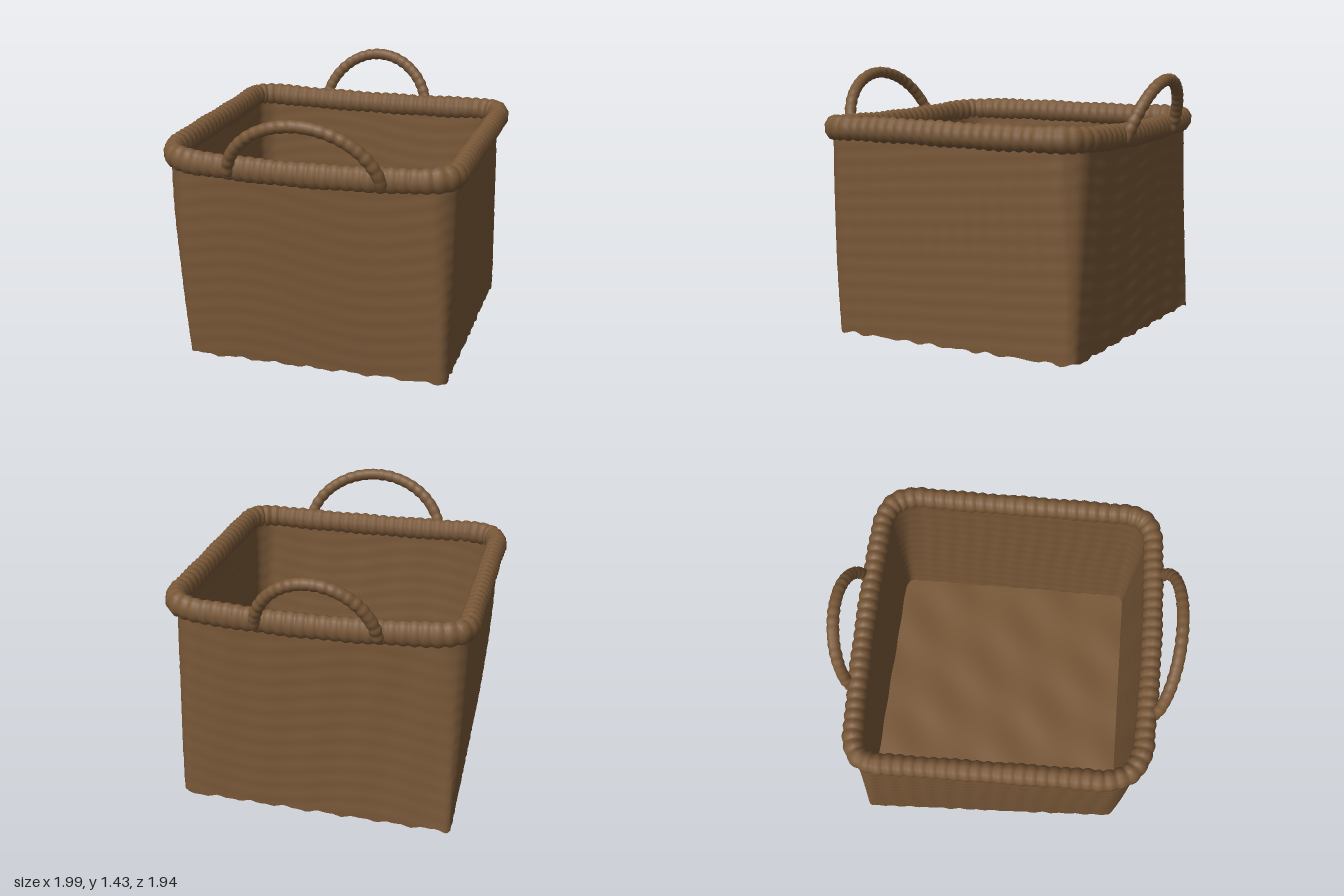
import * as THREE from 'three';
import { mergeVertices } from 'three/addons/utils/BufferGeometryUtils.js';

// Corner order: +x+z, -x+z, -x-z, +x-z
const SIGNS = [[1, 1], [-1, 1], [-1, -1], [1, -1]];
const BOTTOM = [[0.767, 0.69], [-0.675, 0.708], [-0.755, -0.782], [0.757, -0.75]];
const TOP = [[0.787, 0.742], [-0.765, 0.752], [-0.792, -0.752], [0.76, -0.758]];
const RIM = [[0.78, 0.74], [-0.757, 0.755], [-0.785, -0.745], [0.775, -0.755]];
const RADII = [0.13, 0.18, 0.11, 0.16];
const ARC = 8, SIDE = 56;

const inset = (corners, d) => corners.map(([x, z], q) => [x - SIGNS[q][0] * d, z - SIGNS[q][1] * d]);

// Outward bow of the two handle sides
const bow = (x, z) => Math.abs(z) > 0.55 ? Math.sign(z) * 0.028 * Math.max(0, 1 - (x / 0.72) ** 2) : 0;

// Four corners rounded off into a closed list of [x, z]
function ring(corners, round = 1) {
  const toward = (p, q) => {
    const dx = q[0] - p[0], dz = q[1] - p[1], l = Math.hypot(dx, dz);
    return [dx / l, dz / l];
  };
  const arcs = corners.map((p, q) => {
    const back = toward(p, corners[(q + 3) % 4]), next = toward(p, corners[(q + 1) % 4]);
    return Array.from({ length: ARC + 1 }, (_, k) => {
      const a = k / ARC * Math.PI / 2, r = RADII[q] * round;
      const m = r * (1 - Math.sin(a)), n = r * (1 - Math.cos(a));
      return [p[0] + m * back[0] + n * next[0], p[1] + m * back[1] + n * next[1]];
    });
  });
  const pts = [];
  arcs.forEach((arc, q) => {
    pts.push(...arc);
    const a = arc[ARC], b = arcs[(q + 1) % 4][0];
    for (let k = 1; k < SIDE; k++) {
      const t = k / SIDE;
      pts.push([a[0] + (b[0] - a[0]) * t, a[1] + (b[1] - a[1]) * t]);
    }
  });
  return pts;
}

// Skin a run of closed loops of Vector3
function loft(loops) {
  const n = loops[0].length, pos = [], idx = [];
  loops.forEach(l => l.forEach(p => pos.push(p.x, p.y, p.z)));
  for (let j = 0; j < loops.length - 1; j++) {
    for (let i = 0; i < n; i++) {
      const a = j * n + i, b = j * n + (i + 1) % n;
      idx.push(a, a + n, b, b, a + n, b + n);
    }
  }
  const g = new THREE.BufferGeometry();
  g.setAttribute('position', new THREE.Float32BufferAttribute(pos, 3));
  g.setIndex(idx);
  g.computeVertexNormals();
  return g;
}

// Wall outline at height y, pulled in by a thickness, with faint woven ripples
function wallLoop(y, thickness) {
  const h = Math.min(1, Math.max(0, y / 1.13)), t = 1 - (1 - h) ** 1.6;
  const corners = BOTTOM.map(([x, z], q) => [x + (TOP[q][0] - x) * t, z + (TOP[q][1] - z) * t]);
  return ring(inset(corners, thickness), 0.3 + 0.7 * h).map(([x, z]) => {
    const onX = Math.abs(x) > Math.abs(z);
    const d = onX
      ? 0.003 * Math.sin(z * 62 + Math.sin(y * 5)) + 0.001 * Math.sin(y * 75 + z * 6)
      : 0.001 * Math.sin(y * 70 + 3 * Math.sin(x * 5)) + 0.002 * Math.sin(x * 23 + y * 4);
    const ragged = y < 0.03 ? 0.006 * Math.sin(x * 31 + z * 37) + 0.004 * Math.sin(x * 67 - z * 53) : 0;
    return new THREE.Vector3(
      x + (onX ? Math.sign(x) * d : 0), y + ragged, z + (onX ? 0 : Math.sign(z) * d) + h * bow(x, z));
  });
}

// Sloping, gently lumpy base panel shrunk by s
function baseLoop(y, s) {
  return ring(inset(BOTTOM, 0.022).map(([x, z]) => [x * s, z * s]), 0.3 * s).map(([x, z]) => new THREE.Vector3(
    x, y - 0.035 * x + 0.007 * Math.sin(x * 12 + z * 15) * Math.sin(z * 5 - x * 4), z));
}

// Tube with wrapped-cord bulges, optionally taller than it is wide
function cord(curve, segments, radius, closed, bulges, amount, tall = 1) {
  const g = new THREE.TubeGeometry(curve, segments, radius, 10, closed);
  const p = g.attributes.position, nrm = g.attributes.normal;
  for (let i = 0; i < p.count; i++) {
    const t = Math.floor(i / 11) / segments;
    const d = amount * (2 * Math.abs(Math.sin(Math.PI * bulges * t)) - 1)
      + amount * 0.4 * Math.sin(Math.PI * 2 * 17 * t);
    const dy = d * tall + radius * (tall - 1);
    p.setXYZ(i, p.getX(i) + nrm.getX(i) * d, p.getY(i) + nrm.getY(i) * dy, p.getZ(i) + nrm.getZ(i) * d);
  }
  g.deleteAttribute('uv');
  g.deleteAttribute('normal');
  const merged = mergeVertices(g, 1e-4);
  merged.computeVertexNormals();
  return merged;
}

export function createModel() {
  const model = new THREE.Group();
  const basket = new THREE.Group();
  basket.name = 'basket';
  basket.rotation.y = THREE.MathUtils.degToRad(18.5);
  model.add(basket);

  const wicker = new THREE.MeshStandardMaterial({ color: 0x795838 });
  wicker.name = 'brown wicker';
  const add = (name, geometry) => {
    const mesh = new THREE.Mesh(geometry, wicker);
    mesh.name = name;
    basket.add(mesh);
  };

  // Walls: outer skin upwards, inner skin downwards
  const ROWS = 64, heights = Array.from({ length: ROWS + 1 }, (_, k) => 0.015 + 1.115 * k / ROWS);
  add('outerWall', loft(heights.map(y => wallLoop(y, 0))));
  add('innerWall', loft(heights.slice(4).reverse().map(y => wallLoop(y, 0.03))));

  // Base: floor, recessed underside and the lip around it
  const steps = Array.from({ length: 25 }, (_, k) => 1 - 0.999 * k / 24);
  add('floor', loft(steps.map(s => baseLoop(0.12, s))));
  add('underside', loft([...steps].reverse().map(s => baseLoop(0.1, s))));
  add('bottomLip', loft([baseLoop(0.1, 1), wallLoop(0.015, 0.015), wallLoop(0.015, 0)]));

  // Wrapped rim, dipping a little on the handle sides
  const rimPath = new THREE.CatmullRomCurve3(
    ring(RIM).filter((_, i) => i % 4 === 0).map(([x, z]) => new THREE.Vector3(
      x, 1.12 + 0.038 * x * x + 0.003 * Math.sin(z * 5), z + bow(x, z))), true);
  add('rim', cord(rimPath, 720, 0.054, true, 102, 0.004, 1.2));

  // Arched handles leaning outwards on two facing sides
  [['frontHandle', 1, -0.37, 0.44, 0.1], ['backHandle', -1, -0.36, 0.28, 0.1]].forEach(([name, side, x0, x1, lean]) => {
    const pts = [];
    for (let k = 0; k <= 12; k++) {
      const a = Math.PI * k / 12, lift = Math.sin(a);
      pts.push(new THREE.Vector3(
        (x0 + x1) / 2 - (x1 - x0) / 2 * Math.cos(a),
        1.1 + 0.303 * Math.pow(lift, 1.1),
        side * (0.805 + lean * lift)));
    }
    add(name, cord(new THREE.CatmullRomCurve3(pts), 120, 0.032, false, 22, 0.002));
  });

  return model;
}
